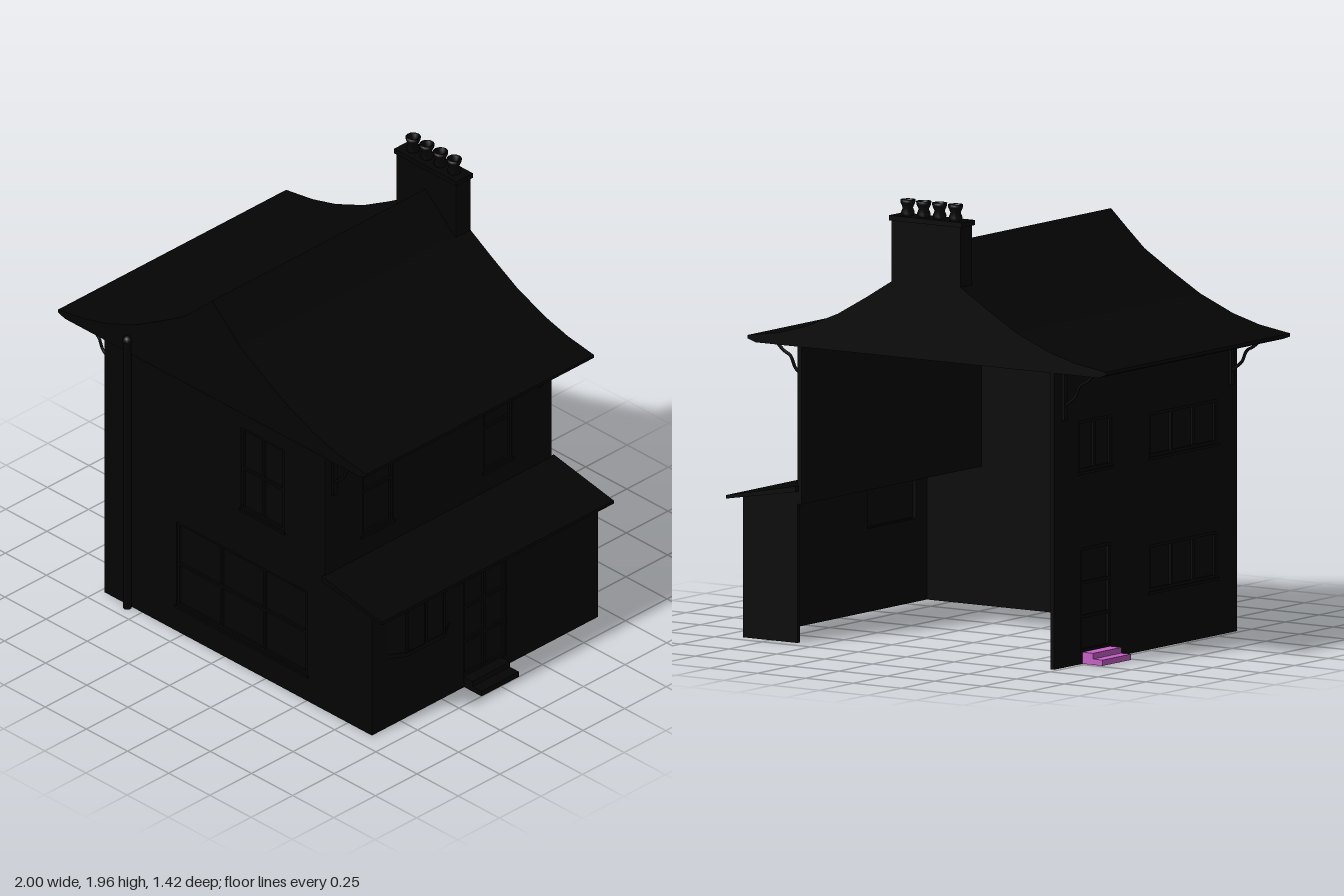
import * as THREE from 'three';

const black = new THREE.MeshStandardMaterial({ color: 0x040404, side: THREE.DoubleSide });
const pink = new THREE.MeshStandardMaterial({ color: 0xc860c8 });

function add(parent, name, geometry, material = black) {
  const mesh = new THREE.Mesh(geometry, material);
  mesh.name = name;
  parent.add(mesh);
  return mesh;
}

// box given by its minimum and maximum corners
function box(parent, name, a, b, material) {
  const m = add(parent, name, new THREE.BoxGeometry(b[0] - a[0], b[1] - a[1], b[2] - a[2]), material);
  m.position.set((a[0] + b[0]) / 2, (a[1] + b[1]) / 2, (a[2] + b[2]) / 2);
  return m;
}

const shapeOf = (pts) => new THREE.Shape(pts.map(([x, y]) => new THREE.Vector2(x, y)));

function prism(parent, name, pts, z0, z1) {
  const g = new THREE.ExtrudeGeometry(shapeOf(pts), { depth: z1 - z0, bevelEnabled: false });
  return add(parent, name, g.translate(0, 0, z0));
}

// window or door in a wall's own plane: outer face z = 0, outside is +z
function opening(parent, o) {
  const { x0, x1, y0, y1, cols = 1, rows = 1, door = false } = o;
  const g = new THREE.Group();
  g.name = door ? 'door' : 'window';
  parent.add(g);
  box(g, door ? 'doorLeaf' : 'glass', [x0, y0, -0.02], [x1, y1, -0.015]);
  const t = 0.012;
  for (let i = 0; i <= cols; i++) {
    const x = x0 + t / 2 + (x1 - x0 - t) * i / cols;
    box(g, 'upright', [x - t / 2, y0, -0.016], [x + t / 2, y1, -0.004]);
  }
  for (let j = 0; j <= rows; j++) {
    const y = y0 + t / 2 + (y1 - y0 - t) * j / rows;
    box(g, 'rail', [x0, y - t / 2, -0.016], [x1, y + t / 2, -0.004]);
  }
  if (!door) box(g, 'sill', [x0 - 0.01, y0 - 0.012, -0.02], [x1 + 0.01, y0, 0.006]);
}

// thin wall with holes, set in place by a turn about y
function wall(parent, name, outline, openings, turn, position) {
  const g = new THREE.Group();
  g.name = name;
  const shape = shapeOf(outline);
  for (const { x0, x1, y0, y1 } of openings) {
    shape.holes.push(new THREE.Path([[x0, y0], [x0, y1], [x1, y1], [x1, y0]]
      .map(([x, y]) => new THREE.Vector2(x, y))));
  }
  const geo = new THREE.ExtrudeGeometry(shape, { depth: 0.02, bevelEnabled: false });
  add(g, name + 'Surface', geo.translate(0, 0, -0.02));
  for (const o of openings) if (!o.open) opening(g, o);
  g.rotation.y = turn;
  g.position.set(...position);
  parent.add(g);
}

const rect = (x0, x1, y0, y1) => [[x0, y0], [x1, y0], [x1, y1], [x0, y1]];

export function createModel() {
  const house = new THREE.Group();
  house.name = 'house';
  const L = -0.73, R = 0.61, S = 0.895, F = 0.67, B = -0.69, EAVE = 1.29;

  // front wall covers the house and the end of the lean-to
  wall(house, 'frontWall',
    [[L, 0], [S, 0], [S, 0.61], [R, 0.665], [R, EAVE], [L, EAVE]],
    [{ x0: -0.29, x1: 0.5, y0: 0.13, y1: 0.55, cols: 3, rows: 2 },
      { x0: 0.1, x1: 0.36, y0: 0.79, y1: 1.2, cols: 2, rows: 2 }], 0, [0, 0, F]);

  // plain side wall with side door
  wall(house, 'sideWall', rect(B, F, 0, EAVE),
    [{ x0: -0.49, x1: -0.27, y0: 0.05, y1: 0.5, rows: 3, door: true },
      { x0: 0.02, x1: 0.52, y0: 0.25, y1: 0.45, cols: 3 },
      { x0: 0.02, x1: 0.52, y0: 0.83, y1: 1.02, cols: 3 },
      { x0: -0.51, x1: -0.26, y0: 0.83, y1: 1.05, cols: 2 }], -Math.PI / 2, [L, 0, 0]);

  // upper wall above the lean-to
  wall(house, 'upperWall', rect(-F, -B, 0.6, EAVE),
    [{ x0: -0.445, x1: -0.26, y0: 0.78, y1: 1.21, rows: 2 },
      { x0: 0.285, x1: 0.455, y0: 0.78, y1: 1.21, rows: 2 }], Math.PI / 2, [R, 0, 0]);

  // lean-to walls and roof
  wall(house, 'leanToWall', rect(-F, -B, 0, 0.61),
    [{ x0: -0.12, x1: 0.14, y0: 0.05, y1: 0.57, cols: 2, rows: 3, door: true },
      { x0: -0.57, x1: -0.21, y0: 0.36, y1: 0.57, open: true }], Math.PI / 2, [S, 0, 0]);
  wall(house, 'leanToBackWall', [[-S, 0], [-R, 0], [-R, 0.665], [-S, 0.61]], [], Math.PI, [0, 0, B]);
  prism(house, 'leanToRoof', [[0.605, 0.68], [0.605, 0.655], [0.97, 0.595], [0.97, 0.61]], -0.71, 0.685);

  // canted bay window in the lean-to
  const bay = new THREE.Group();
  bay.name = 'bayWindow';
  house.add(bay);
  const plan = [[S, 0.58], [0.943, 0.5], [0.943, 0.28], [S, 0.2]];
  for (const [name, y, h] of [['baySill', 0.345, 0.02], ['bayGlass', 0.365, 0.21], ['bayHead', 0.575, 0.03]]) {
    const inset = name === 'bayGlass' ? 0.005 : 0;
    const pts = plan.map(([x, z]) => [x - inset, -z]);
    const g = new THREE.ExtrudeGeometry(shapeOf(pts), { depth: h, bevelEnabled: false });
    add(bay, name, g.rotateX(-Math.PI / 2).translate(0, y, 0));
  }
  for (const z of [0.5, 0.39, 0.28]) {
    box(bay, 'bayPost', [0.932, 0.36, z - 0.006], [0.943, 0.58, z + 0.006]);
  }

  // swept main roof
  const slope = [[-0.065, 1.768], [0.02, 1.69], [0.11, 1.61], [0.25, 1.525], [0.4, 1.44],
    [0.57, 1.37], [0.71, 1.332], [0.87, 1.308], [0.87, 1.294], [0.83, 1.28]];
  const otherSide = slope.slice(1).map(([x, y]) => [-0.065 - (x + 0.065), y]).reverse();
  prism(house, 'mainRoof', [...slope, ...otherSide], B, 0.68);

  // chimney with four pots
  box(house, 'chimneyStack', [-0.24, 1.35, -0.69], [0.12, 1.875, -0.602]);
  box(house, 'chimneyCap', [-0.25, 1.868, -0.697], [0.128, 1.89, -0.596]);
  const potProfile = [[0, 0], [0.026, 0], [0.03, 0.015], [0.022, 0.035], [0.032, 0.058], [0.033, 0.07], [0.024, 0.07], [0.018, 0.04]]
    .map(([x, y]) => new THREE.Vector2(x, y));
  for (let i = 0; i < 4; i++) {
    add(house, 'chimneyPot', new THREE.LatheGeometry(potProfile, 16))
      .position.set(-0.185 + i * 0.083, 1.888, -0.647);
  }

  // eaves brackets on both sides
  for (const side of [-1, 1]) {
    for (const z of [-0.62, 0.62]) {
      const w = side < 0 ? L : R;
      const path = new THREE.CatmullRomCurve3([[0.005, 1.13], [0.03, 1.15], [0.06, 1.175], [0.085, 1.225], [0.12, 1.245], [0.165, 1.285]]
        .map(([d, y]) => new THREE.Vector3(w + side * d, y, z)));
      add(house, 'eavesBracket', new THREE.TubeGeometry(path, 16, 0.007, 6));
      const post = box(house, 'bracketPost', [w - 0.01, 1.07, z - 0.012], [w + 0.01, 1.285, z + 0.012]);
      post.position.x = w + side * 0.003;
    }
  }

  // downpipe with a rounded head
  const pipe = add(house, 'downpipe', new THREE.CylinderGeometry(0.018, 0.018, 1.34, 12));
  pipe.position.set(-0.572, 0.67, 0.688);
  add(house, 'downpipeHead', new THREE.SphereGeometry(0.023, 12, 8)).position.set(-0.572, 1.345, 0.685);

  // door steps
  box(house, 'frontDoorStepUpper', [S, 0, -0.11], [0.945, 0.05, 0.115]);
  box(house, 'frontDoorStepLower', [S, 0, -0.11], [1.0, 0.025, 0.115]);
  box(house, 'sideDoorStepUpper', [-0.785, 0, -0.48], [L, 0.05, -0.27], pink);
  box(house, 'sideDoorStepLower', [-0.835, 0, -0.48], [-0.785, 0.025, -0.27], pink);

  return house;
}
